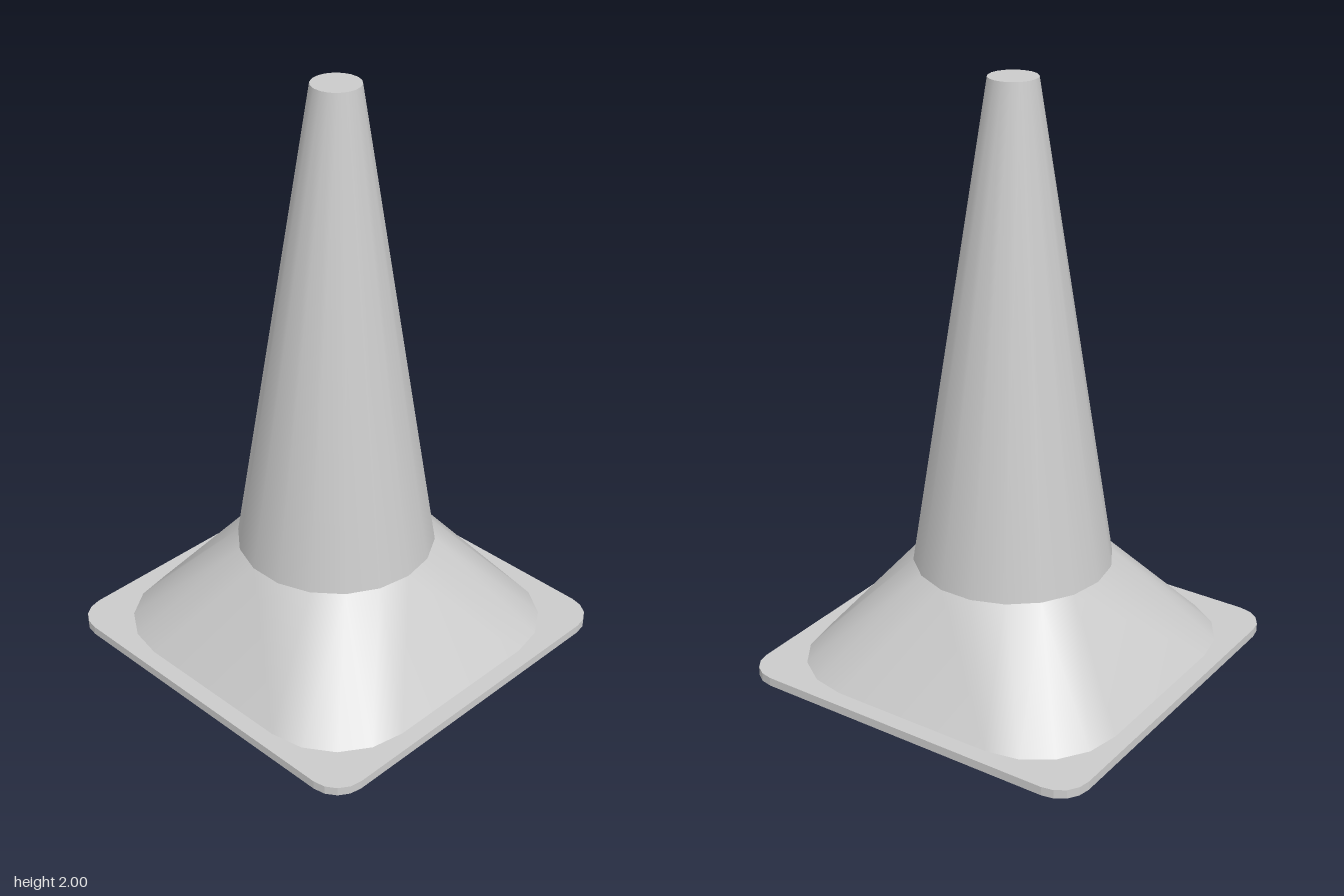
import * as THREE from 'three';

const SIDES = 18;

// Rounded square outline, counter-clockwise, as [x, z] points
function roundedSquare(half, radius, steps = 4) {
  const points = [];
  for (let corner = 0; corner < 4; corner++) {
    const mid = Math.PI / 4 + corner * Math.PI / 2;
    const cx = Math.sign(Math.cos(mid)) * (half - radius);
    const cz = Math.sign(Math.sin(mid)) * (half - radius);
    for (let i = 0; i <= steps; i++) {
      const a = (corner + i / steps) * Math.PI / 2;
      points.push([cx + radius * Math.cos(a), cz + radius * Math.sin(a)]);
    }
  }
  return points;
}

function circle(radius, sides) {
  return Array.from({ length: sides }, (_, i) => {
    const a = i / sides * Math.PI * 2;
    return [radius * Math.cos(a), radius * Math.sin(a)];
  });
}

// Joins two rings of different point counts, always advancing the ring that lags in angle
function loft(lower, yLower, upper, yUpper) {
  const n = lower.length, m = upper.length, index = [];
  const angle = (ring, i) => {
    const [x, z] = ring[i % ring.length];
    const a = Math.atan2(z, x);
    return (a < -1e-9 ? a + Math.PI * 2 : a) + Math.floor(i / ring.length) * Math.PI * 2;
  };
  let i = 0, j = 0;
  while (i < n || j < m) {
    const a = i % n, b = n + j % m;
    if (j >= m || (i < n && angle(lower, i + 1) <= angle(upper, j + 1))) {
      index.push(a, b, (i + 1) % n);
      i++;
    } else {
      index.push(a, b, n + (j + 1) % m);
      j++;
    }
  }
  const positions = [
    ...lower.flatMap(([x, z]) => [x, yLower, z]),
    ...upper.flatMap(([x, z]) => [x, yUpper, z]),
  ];
  const geometry = new THREE.BufferGeometry();
  geometry.setAttribute('position', new THREE.Float32BufferAttribute(positions, 3));
  geometry.setIndex(index);
  geometry.computeVertexNormals();
  return geometry;
}

export function createModel() {
  const group = new THREE.Group();
  group.name = 'trafficCone';
  const material = new THREE.MeshStandardMaterial({ color: 0xcccccc });
  const add = (name, geometry) => {
    const mesh = new THREE.Mesh(geometry, material);
    mesh.name = name;
    group.add(mesh);
  };

  // Flat base plate with rounded corners
  const outline = roundedSquare(0.643, 0.105).map(([x, z]) => new THREE.Vector2(x, z));
  const plate = new THREE.ExtrudeGeometry(new THREE.Shape(outline), { depth: 0.03, bevelEnabled: false });
  plate.rotateX(-Math.PI / 2);
  add('basePlate', plate);

  // Skirt blending from a rounded square to the round cone
  add('skirt', loft(roundedSquare(0.585, 0.295), 0.03, circle(0.335, SIDES), 0.37));

  // Tapered cone body with a closed flat top
  const cone = new THREE.CylinderGeometry(0.08, 0.335, 1.63, SIDES, 1, false, Math.PI / 2);
  cone.translate(0, 0.37 + 1.63 / 2, 0);
  add('coneBody', cone);

  return group;
}
